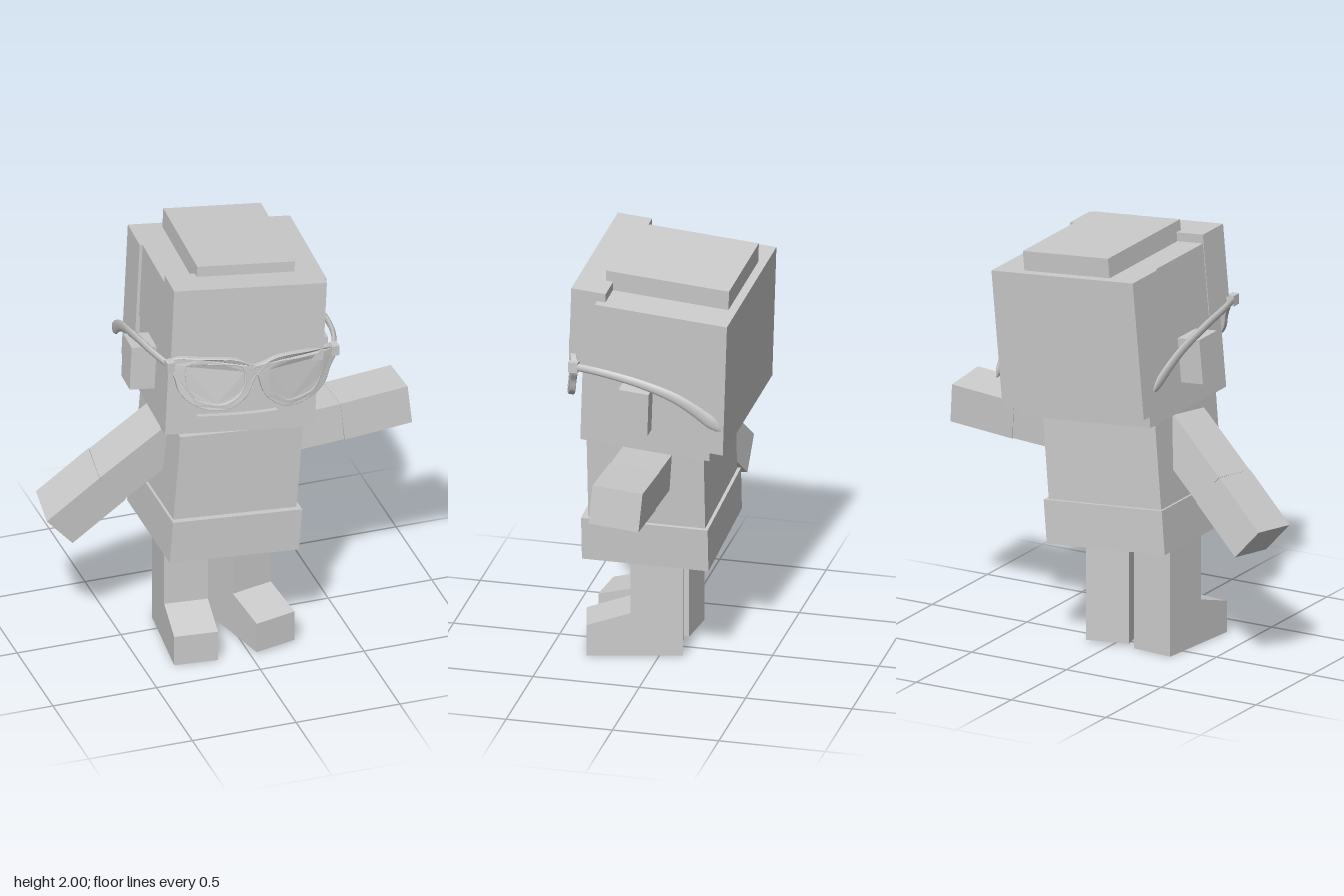
import * as THREE from 'three';

const grey = new THREE.MeshStandardMaterial({ color: 0xcccccc, side: THREE.DoubleSide });
const V3 = (x, y, z) => new THREE.Vector3(x, y, z);

// The head frame: tipped sideways and back, slightly turned
const headFrame = new THREE.Matrix4().makeBasis(
  V3(0.985, -0.1, 0.05), V3(0.062, 0.99, -0.045), V3(-0.065, 0.045, 0.995)
).setPosition(0.02, 1.5, 0);

function mesh(name, geo, parent) {
  const m = new THREE.Mesh(geo, grey);
  m.name = name;
  parent.add(m);
  return m;
}

// Box given by its limits on each axis
function span(x0, x1, y0, y1, z0, z1) {
  return new THREE.BoxGeometry(x1 - x0, y1 - y0, z1 - z0)
    .translate((x0 + x1) / 2, (y0 + y1) / 2, (z0 + z1) / 2);
}

// Box running from p to q, with its depth near the given direction
function limb(name, p, q, height, depth, depthDir, parent) {
  const x = q.clone().sub(p), length = x.length();
  x.normalize();
  const y = depthDir.clone().cross(x).normalize();
  const z = x.clone().cross(y);
  const geo = new THREE.BoxGeometry(length, height, depth);
  geo.applyMatrix4(new THREE.Matrix4().makeBasis(x, y, z).setPosition(p.clone().lerp(q, 0.5)));
  return mesh(name, geo, parent);
}

// Closed smooth outline through a few points
function outline(points, n) {
  const curve = new THREE.CatmullRomCurve3(points.map(([x, y]) => V3(x, y, 0)), true);
  return curve.getPoints(n).slice(0, n).map(p => new THREE.Vector2(p.x, p.y));
}

function buildHead() {
  const head = new THREE.Group();
  head.name = 'head';
  const add = (name, geo) => mesh(name, geo.applyMatrix4(headFrame), head);

  add('face', span(-0.37, 0.35, -0.355, 0.36, -0.33, 0.29));
  add('fringe', span(-0.38, 0.355, 0.02, 0.418, 0.19, 0.355));
  add('hairTop', span(-0.235, 0.235, 0.37, 0.47, -0.365, 0.225));
  add('hairBack', span(-0.39, 0.39, -0.29, 0.375, -0.405, -0.2));
  add('hairCrown', span(-0.376, 0.39, 0.01, 0.375, -0.2, 0.23));
  add('hairSideLock', span(0.2, 0.39, -0.29, 0.01, -0.2, -0.05));
  add('rightEar', span(-0.49, -0.36, -0.22, -0.005, -0.06, 0.085));
  add('leftEar', span(0.34, 0.455, -0.22, -0.005, -0.06, 0.085));
  add('nose', span(-0.065, 0.025, -0.19, -0.1, 0.28, 0.36));

  // Lopsided smile
  const smile = new THREE.Shape();
  smile.moveTo(-0.225, -0.257);
  smile.quadraticCurveTo(0, -0.265, 0.16, -0.246);
  smile.quadraticCurveTo(0.15, -0.285, 0.08, -0.287);
  smile.quadraticCurveTo(-0.05, -0.287, -0.225, -0.257);
  add('mouth', new THREE.ExtrudeGeometry(smile, { depth: 0.03, bevelEnabled: false }).translate(0, 0, 0.285));
  return head;
}

function buildGlasses() {
  const glasses = new THREE.Group();
  glasses.name = 'glasses';

  const half = [[0.1, 0.078], [0.27, 0.08], [0.39, 0.07], [0.405, 0.035], [0.375, -0.03],
    [0.35, -0.1], [0.27, -0.16], [0.15, -0.175], [0.05, -0.11]];
  const mirror = pts => pts.map(([x, y]) => [-x, y]);
  const outer = [[0, 0.045], ...half, [0, 0], ...mirror(half).reverse()];
  const opening = [[0.075, 0.045], [0.2, 0.057], [0.33, 0.045], [0.335, -0.03],
    [0.29, -0.12], [0.16, -0.15], [0.08, -0.1], [0.055, -0.02]];

  // Wrap the front around the face
  const bend = geo => {
    const p = geo.attributes.position;
    for (let i = 0; i < p.count; i++) {
      const x = p.getX(i);
      p.setZ(i, p.getZ(i) - 0.52 * x * x - 0.05 * x);
    }
    geo.translate(0.02, 0, 0.4).computeVertexNormals();
    return geo.applyMatrix4(headFrame);
  };

  const frame = new THREE.Shape(outline(outer, 140));
  for (const pts of [opening, mirror(opening)]) {
    const ring = outline(pts, 48);
    frame.holes.push(new THREE.Path(ring));
    const lens = new THREE.ExtrudeGeometry(new THREE.Shape(ring), { depth: 0.008, bevelEnabled: false });
    mesh('lens', bend(lens.translate(0, 0, 0.008)), glasses);
  }
  mesh('glassesFrame', bend(new THREE.ExtrudeGeometry(frame, {
    depth: 0.022, bevelThickness: 0.004, bevelSize: 0.004, bevelSegments: 2
  })), glasses);

  // Flat temples that widen and curve down behind the ears
  const temples = {
    leftTemple: [[0.415, 1.525, 0.33], [0.455, 1.528, 0.2], [0.48, 1.5, 0], [0.475, 1.44, -0.17], [0.455, 1.35, -0.3], [0.445, 1.29, -0.37]],
    rightTemple: [[-0.385, 1.6, 0.35], [-0.42, 1.6, 0.2], [-0.435, 1.575, 0], [-0.425, 1.51, -0.2], [-0.41, 1.43, -0.33], [-0.4, 1.37, -0.4]]
  };
  for (const [name, pts] of Object.entries(temples)) {
    const steps = 40, sides = 10;
    const curve = new THREE.CatmullRomCurve3(pts.map(p => V3(...p)));
    const geo = new THREE.TubeGeometry(curve, steps, 0.011, sides);
    const pos = geo.attributes.position;
    for (let i = 0; i < pos.count; i++) {
      const t = Math.floor(i / (sides + 1)) / steps;
      const c = curve.getPointAt(t);
      const end = Math.sqrt(Math.min(1, (1 - t) * 12));
      const s = (1.7 + 1.4 * t * t) * end;
      pos.setXYZ(i, c.x + (pos.getX(i) - c.x) * end,
        c.y + (pos.getY(i) - c.y) * s, c.z + (pos.getZ(i) - c.z) * s);
    }
    geo.computeVertexNormals();
    mesh(name, geo, glasses);
    mesh('hinge', new THREE.BoxGeometry(0.035, 0.05, 0.045).translate(...pts[0]), glasses);
  }
  return glasses;
}

export function createModel() {
  const model = new THREE.Group();
  model.name = 'blockFigure';
  model.add(buildHead(), buildGlasses());

  // Leaning torso with a wider hem
  const torso = mesh('torso', new THREE.BoxGeometry(0.595, 0.48, 0.55), model);
  torso.position.set(-0.04, 0.92, 0.03);
  const hem = mesh('hem', new THREE.BoxGeometry(0.625, 0.21, 0.595), model);
  hem.position.set(-0.06, 0.625, 0.037);
  torso.rotation.z = hem.rotation.z = -0.078;

  // Arms: upper arm and slightly thicker forearm
  const arms = [
    ['left', V3(0.2, 0.982, 0.027), V3(0.52, 1.003, 0.027), V3(0.845, 1.032, 0.025), V3(0, 0.08, 1)],
    ['right', V3(-0.28, 1.08, 0.025), V3(-0.556, 0.843, -0.035), V3(-0.792, 0.632, -0.085), V3(0, 0, 1)]
  ];
  for (const [side, shoulder, elbow, hand, dir] of arms) {
    limb(side + 'UpperArm', shoulder, elbow, 0.182, 0.23, dir, model);
    limb(side + 'Forearm', elbow, hand, 0.186, 0.236, dir, model);
  }

  // Legs: one side profile with a sloping foot, toes turned out
  const profile = new THREE.Shape([[0, 0], [0.44, 0], [0.44, 0.15], [0.24, 0.21], [0.24, 0.58], [0, 0.58]]
    .map(p => new THREE.Vector2(...p)));
  const legs = [['leftLeg', 0.024, -0.086, 0.01, 0.24], ['rightLeg', -0.213, -0.09, 0, -0.1]];
  for (const [name, x, z, y, yaw] of legs) {
    const geo = new THREE.ExtrudeGeometry(profile, { depth: 0.205, bevelEnabled: false });
    geo.translate(0, 0, -0.1025).rotateY(-Math.PI / 2);
    const leg = mesh(name, geo, model);
    leg.position.set(x, y, z);
    leg.rotation.y = yaw;
  }
  return model;
}
